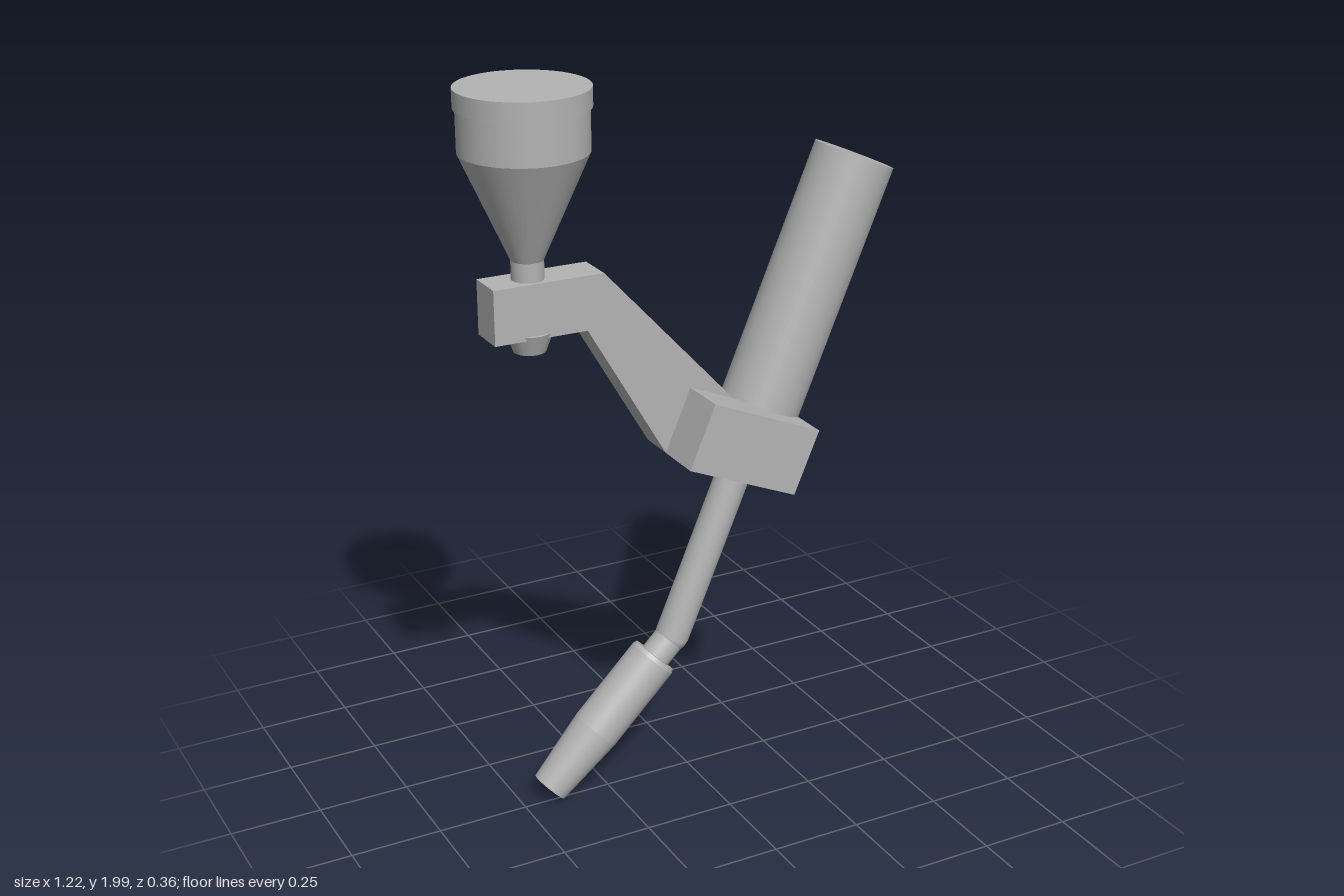
import * as THREE from 'three';

const Z = -0.01; // depth of the shared centre plane

export function createModel() {
  const group = new THREE.Group();
  const grey = new THREE.MeshStandardMaterial({ color: 0xb3b3b3 });
  grey.name = 'plain grey';

  function add(name, geometry) {
    const mesh = new THREE.Mesh(geometry, grey);
    mesh.name = name;
    group.add(mesh);
    return mesh;
  }

  // Round section running from point a (radius ra) to point b (radius rb) in the centre plane
  function round(name, a, b, ra, rb = ra) {
    const from = new THREE.Vector3(a[0], a[1], Z);
    const to = new THREE.Vector3(b[0], b[1], Z);
    const axis = to.clone().sub(from);
    const mesh = add(name, new THREE.CylinderGeometry(rb, ra, axis.length(), 48));
    mesh.position.copy(from).add(to).multiplyScalar(0.5);
    mesh.quaternion.setFromUnitVectors(new THREE.Vector3(0, 1, 0), axis.normalize());
  }

  // Flat-sided plate cut from an outline, between two depths
  function plate(name, points, zBack, zFront) {
    const shape = new THREE.Shape(points.map(([x, y]) => new THREE.Vector2(x, y)));
    const geometry = new THREE.ExtrudeGeometry(shape, { depth: zFront - zBack, bevelEnabled: false });
    geometry.translate(0, 0, zBack);
    add(name, geometry);
  }

  // Hopper: lid, cup, cone and neck, then the outlet under the arm
  const hx = -0.443;
  const hopper = [
    ['hopperLid', 1.95, 2.0, 0.17, 0.17],
    ['hopperCup', 1.84, 1.95, 0.164, 0.164],
    ['hopperCone', 1.565, 1.84, 0.042, 0.164],
    ['hopperNeck', 1.36, 1.565, 0.042, 0.042],
    ['hopperOutlet', 1.325, 1.38, 0.042, 0.062],
  ];
  for (const [name, y0, y1, r0, r1] of hopper) round(name, [hx, y0], [hx, y1], r0, r1);

  // Bent arm whose end is buried in the barrel
  plate('arm', [
    [-0.558, 1.37], [-0.305, 1.37], [-0.085, 0.992], [0.16, 0.89],
    [0.2, 1.02], [0.12, 1.105], [-0.257, 1.515], [-0.558, 1.515],
  ], -0.064, 0.041);

  // Clamp block on the front of the arm
  plate('clampBlock', [
    [-0.085, 0.992], [0.229, 0.859], [0.302, 1.03], [-0.012, 1.163],
  ], 0.041, 0.177);

  // Barrel and the bent rod below it
  const bend = [-0.042, 0.42];
  round('barrel', [0.16, 0.897], [0.505, 1.712], 0.11);
  round('rod', bend, [0.17, 0.92], 0.047);
  round('rodEnd', [-0.12, 0.342], bend, 0.043);
  const joint = add('rodJoint', new THREE.SphereGeometry(0.046, 32, 16));
  joint.position.set(bend[0], bend[1], Z);

  // Nozzle: chamfered collar, straight sleeve and tapered tip, along a 45 degree line
  const along = (t) => [-0.0955 - t * 0.7071, 0.37 - t * 0.7071];
  round('nozzleCollar', along(0.012), along(0), 0.068, 0.064);
  round('nozzleSleeve', along(0.26), along(0.012), 0.068);
  round('nozzleTip', along(0.461), along(0.26), 0.051, 0.068);

  return group;
}
